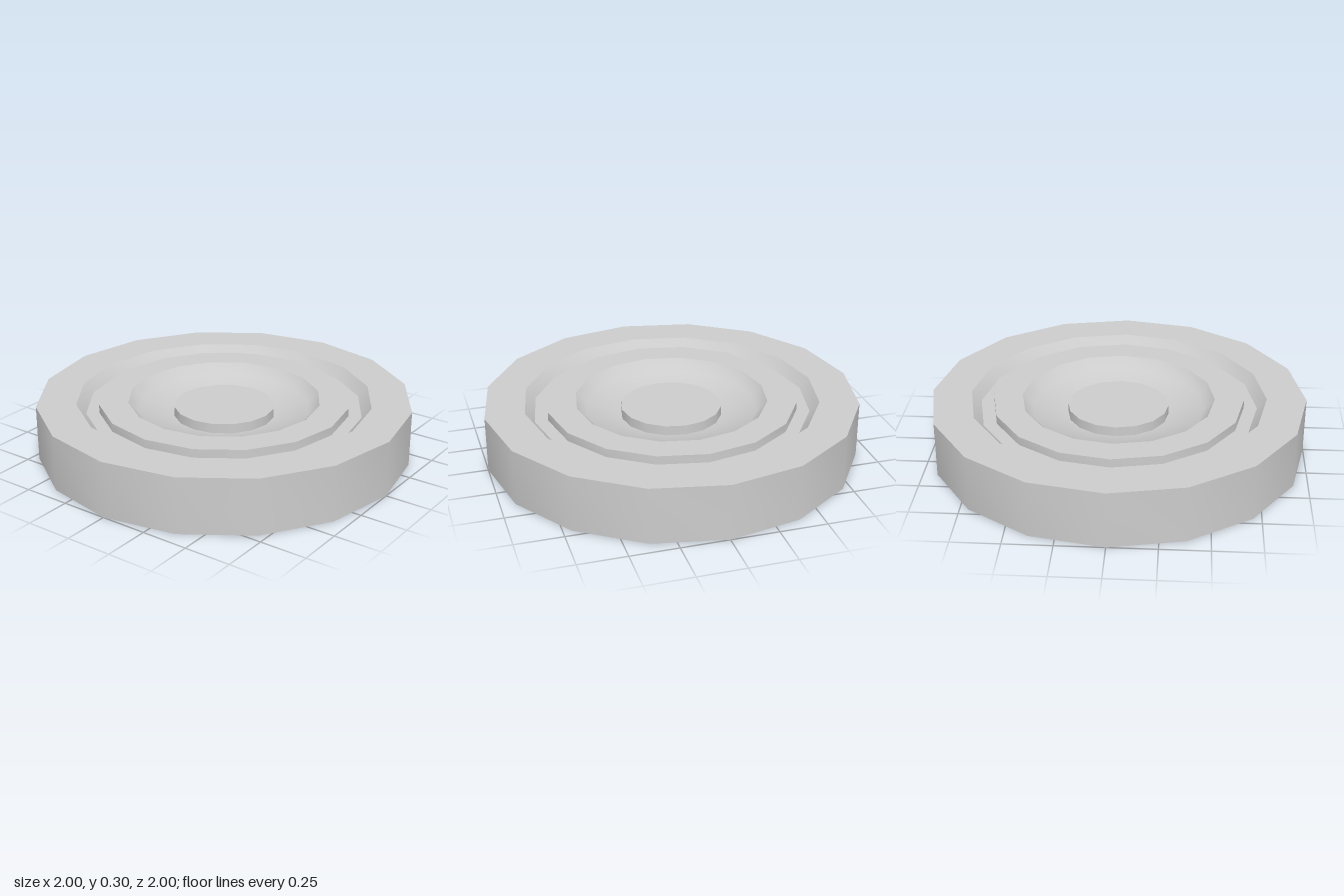
import * as THREE from 'three';
import { toCreasedNormals } from 'three/addons/utils/BufferGeometryUtils.js';

const SIDES = 16;
const MID = 0.15; // height of the symmetry plane

const material = new THREE.MeshStandardMaterial({ color: 0xcccccc });

function addMesh(group, name, geometry) {
  const mesh = new THREE.Mesh(geometry, material);
  mesh.name = name;
  group.add(mesh);
  return mesh;
}

// Turned surface from [radius, height] points, ordered so the outside faces out
function turned(points) {
  const profile = points.map(([r, y]) => new THREE.Vector2(r, y));
  return toCreasedNormals(new THREE.LatheGeometry(profile, SIDES), 0.68);
}

// Mirror a profile through the middle plane, keeping its faces outward
const mirrored = (points) => points.map(([r, y]) => [r, 2 * MID - y]).reverse();

export function createModel() {
  const model = new THREE.Group();
  model.name = 'wheel';

  // Tyre: flat side walls with bevels leading into the groove
  const tyreBottom = [[0.74, 0.055], [0.79, 0], [1, 0]];
  addMesh(model, 'tyre', turned([...tyreBottom, ...mirrored(tyreBottom)]));

  // Rim: dished web, raised flat ring and groove floor, on both faces
  const rimBottom = [
    [0.27, 0.102], [0.46, 0.066], [0.515, 0.009],
    [0.67, 0.009], [0.67, 0.055], [0.74, 0.055],
  ];
  addMesh(model, 'rimBottom', turned(rimBottom));
  addMesh(model, 'rimTop', turned(mirrored(rimBottom)));

  // Hub: disc standing proud of the web on both faces
  const hub = addMesh(model, 'hub', new THREE.CylinderGeometry(0.27, 0.27, 0.2, SIDES));
  hub.position.y = MID;

  return model;
}
